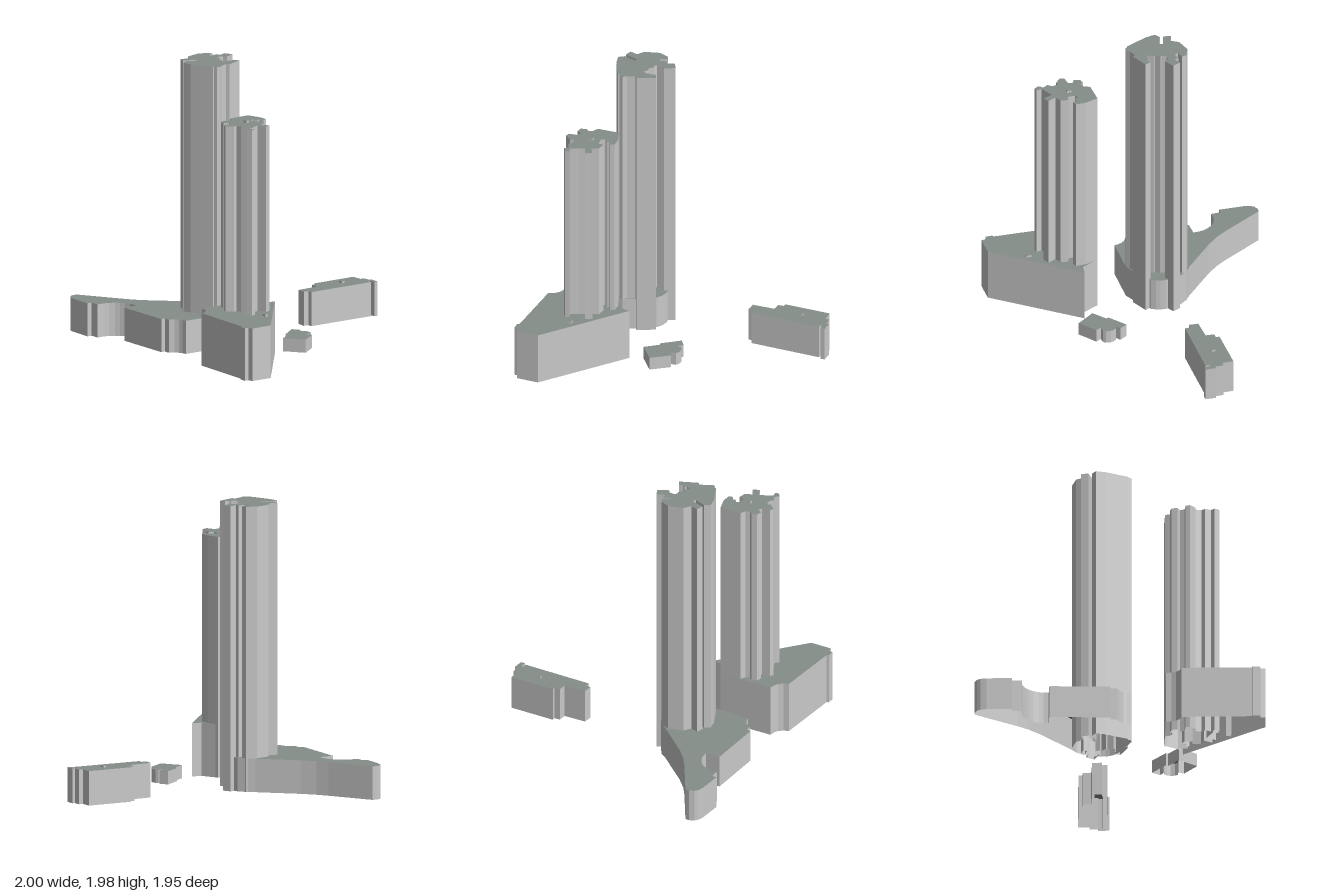
import * as THREE from 'three';

const wallMat = new THREE.MeshStandardMaterial({ color: 0xcacaca, side: THREE.DoubleSide });
wallMat.name = 'pale grey wall';
const roofMat = new THREE.MeshStandardMaterial({ color: 0x858e8a, side: THREE.DoubleSide });
roofMat.name = 'green grey roof';

// Footprints as [x, z] in hundredths, clockwise seen from above
const longPodium = [
  [-99.5, 87], [-69.5, 69.5], [-62, 64.5], [-53.5, 57], [-31.5, 33.5], [-28, 29], [-22.5, 25], [-14.5, 23],
  [-11, 22.5], [-7.5, 23], [-4.5, 24], [-1.5, 26], [2.5, 31], [9.5, 47.5], [8, 76.5], [5, 77], [2.5, 78],
  [0, 80], [-2, 83.5], [-6.5, 83.5], [-6.5, 86.5], [-48.5, 85.5], [-48.5, 75], [-52, 75], [-55.5, 75.5],
  [-59, 77], [-62, 79], [-64.5, 81.5], [-66.5, 85], [-67.5, 89], [-67.5, 94], [-74.5, 94], [-74.5, 97.5],
  [-92, 96.5], [-96, 95.5], [-98.5, 93.5], [-100, 90],
];
const tallTower = [
  [-31, 35.5], [-28, 28.5], [-24.5, 27.5], [-23, 32.5], [-20.5, 31.5], [-21.5, 26.5], [-18.5, 26],
  [-20.5, 20.5], [-15, 18], [-11.5, 25.5], [-14, 27], [-14.5, 31.5], [-11.5, 33], [-10.5, 32], [-7.5, 35.5],
  [-6.5, 34], [-2.5, 36.5], [-1, 33.5], [-2, 32], [-0.5, 30.5], [-1.5, 27.5], [2.5, 25.5], [7.5, 38],
  [5.5, 39.5], [7.5, 45], [9.5, 47.5], [9, 50], [6.5, 51], [7, 52], [-2, 56], [-9, 59], [-15.5, 60.3],
  [-18, 56.5], [-14.5, 48], [-17, 47], [-20.5, 56.5], [-25.5, 55], [-23.5, 49.5], [-28.5, 46],
];
const cornerPodium = [
  [32, 42], [44.5, 35.5], [45.5, 28.5], [100, 75], [99.5, 90.5], [96, 91], [95.5, 94], [90.5, 94],
  [90, 92.5], [42, 89.5], [41, 86], [38.5, 83], [35.5, 81.5], [31.5, 81],
];
const shortTower = [
  [32, 41.5], [41.5, 38.5], [48.5, 38.5], [49.5, 41.5], [46.5, 43], [47, 45], [44, 47], [45.5, 49.5],
  [51, 49.5], [51.5, 45.5], [57, 46.5], [59, 51.5], [65, 48.5], [67, 53], [60.5, 55.5], [62, 59.5],
  [64.5, 65], [68.5, 64], [69, 67], [65.5, 69], [63, 66.5], [59, 68.5], [56.5, 66], [52, 67], [52.5, 69.5],
  [48.5, 74], [45.5, 73], [45, 67], [42, 65.5], [40, 69], [36, 68], [35, 64], [37, 62], [36, 59], [32, 57],
];
const backBlock = [
  [-21.5, -92.5], [-13.5, -92.5], [-13.5, -95.5], [-7.5, -95.5], [-7.5, -97.5], [0, -97], [0, -94],
  [-4.5, -94], [-4.5, -92.5], [-1.5, -92.5], [-3.5, -42], [-7, -42], [-7.5, -38.5], [-14, -39],
  [-14, -55], [-20, -55.5], [-20, -59.5], [-22.5, -59.5],
];
const pavilion = [
  [25.5, -2], [31, -5.5], [33.5, -2], [34, -4.5], [36, -6], [38.5, -6.5], [41.5, -6], [43.3, -4.5],
  [43.5, -0.5], [47.5, -2.5], [56, 10], [43, 19.3], [36, 9.5], [34.5, 10.5],
];

// Rectangular footprint for a rooftop hatch
const rect = (x, z, w, d) => [
  [x - w / 2, z + d / 2], [x - w / 2, z - d / 2], [x + w / 2, z - d / 2], [x + w / 2, z + d / 2],
];

// Building: open-bottomed walls rising from the ground around a footprint, with a flat roof on top
function building(name, footprint, top) {
  const pts = footprint.map(([x, z]) => [x / 100, z / 100]);
  const pos = [];
  pts.forEach(([ax, az], i) => {
    const [bx, bz] = pts[(i + 1) % pts.length];
    pos.push(bx, 0, bz, ax, 0, az, ax, top, az);
    pos.push(bx, 0, bz, ax, top, az, bx, top, bz);
  });
  const wallGeo = new THREE.BufferGeometry();
  wallGeo.setAttribute('position', new THREE.Float32BufferAttribute(pos, 3));
  wallGeo.computeVertexNormals();
  const walls = new THREE.Mesh(wallGeo, wallMat);
  walls.name = name + 'Walls';

  const shape = new THREE.Shape(pts.map(([x, z]) => new THREE.Vector2(x, -z)));
  const roof = new THREE.Mesh(new THREE.ShapeGeometry(shape).rotateX(-Math.PI / 2), roofMat);
  roof.position.y = top;
  roof.name = name + 'Roof';

  const group = new THREE.Group();
  group.name = name;
  group.add(walls, roof);
  return group;
}

export function createModel() {
  const model = new THREE.Group();
  model.name = 'towerComplex';
  model.add(
    building('longPodium', longPodium, 0.233),
    building('tallTower', tallTower, 1.982),
    building('cornerPodium', cornerPodium, 0.37),
    building('shortTower', shortTower, 1.674),
    building('backBlock', backBlock, 0.24),
    building('pavilion', pavilion, 0.092),
    // Service shafts ending in small rooftop hatches
    building('cornerPodiumShaft', rect(75.5, 60.5, 3.5, 2.2), 0.384),
    building('shortTowerShaft', rect(48, 55.5, 3.2, 2.2), 1.689),
    building('backBlockShaft', rect(-12.5, -75.5, 3.2, 2.2), 0.253),
  );
  return model;
}
